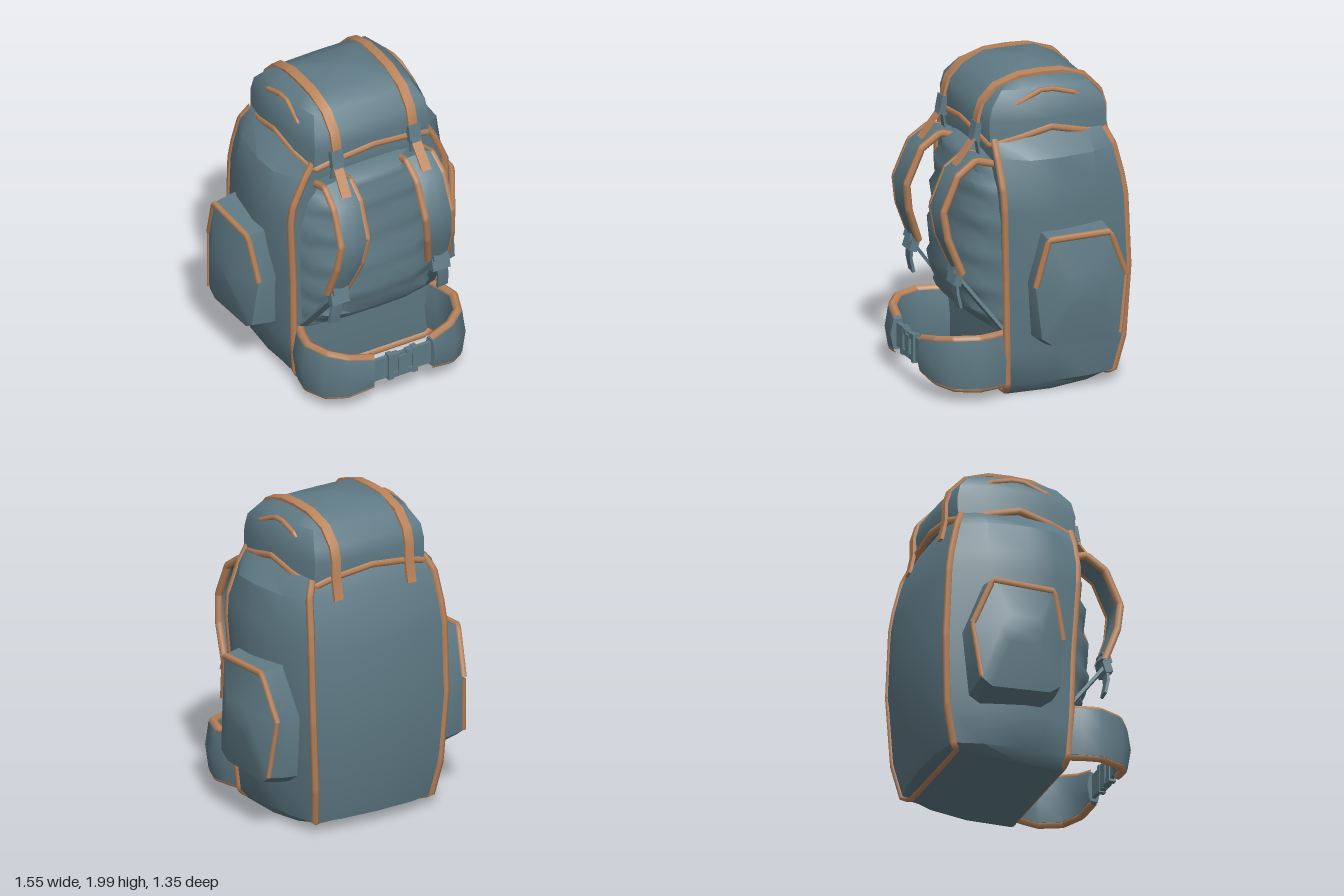
import * as THREE from 'three';
import { toCreasedNormals } from 'three/addons/utils/BufferGeometryUtils.js';

const fabric = new THREE.MeshStandardMaterial({ color: 0x5f7a85 });
fabric.name = 'slate fabric';
const trim = new THREE.MeshStandardMaterial({ color: 0xb9835b });
trim.name = 'tan trim';

const V = (p) => new THREE.Vector3(p[0], p[1], p[2]);
const lerp = THREE.MathUtils.lerp;

// Skin between cross-sections, capped at both ends and always facing outwards
function loft(rings, crease = 0.65) {
  const n = rings[0].length, pos = [], idx = [];
  rings.forEach((r) => r.forEach((p) => pos.push(...p)));
  for (let i = 0; i < rings.length - 1; i++) {
    for (let j = 0; j < n; j++) {
      const a = i * n + j, b = i * n + (j + 1) % n;
      idx.push(a, b, a + n, b, b + n, a + n);
    }
  }
  [0, rings.length - 1].forEach((k) => {
    const c = pos.length / 3;
    for (let d = 0; d < 3; d++) pos.push(rings[k].reduce((s, p) => s + p[d], 0) / n);
    for (let j = 0; j < n; j++) {
      const a = k * n + j, b = k * n + (j + 1) % n;
      idx.push(...(k ? [a, b, c] : [b, a, c]));
    }
  });
  const at = (i) => V(pos.slice(i * 3, i * 3 + 3));
  let volume = 0;
  for (let i = 0; i < idx.length; i += 3) volume += at(idx[i]).dot(at(idx[i + 1]).cross(at(idx[i + 2])));
  if (volume < 0) idx.reverse();
  const g = new THREE.BufferGeometry();
  g.setAttribute('position', new THREE.Float32BufferAttribute(pos, 3));
  g.setIndex(idx);
  return toCreasedNormals(g, crease);
}

// Strap along points [x, y, z, halfWidth]; side is the direction of its width
function ribbon(pts, side, thick, puff = 0) {
  const s = V(side).normalize();
  const rings = pts.map((p, i) => {
    const t = V(pts[Math.min(i + 1, pts.length - 1)]).sub(V(pts[Math.max(i - 1, 0)]));
    const nrm = t.cross(s).normalize(), w = p[3], h = thick / 2;
    return [[-w, -h], [-w, h], [0, h + puff], [w, h], [w, -h], [0, -h - puff]].map(([a, b]) =>
      V(p).addScaledVector(s, a).addScaledVector(nrm, b).toArray());
  });
  return loft(rings, 0.8);
}

// Cord running straight from point to point
const cord = (pts, r, closed = false) => new THREE.TubeGeometry(
  new THREE.CatmullRomCurve3(pts.map(V), closed, 'catmullrom', 0), pts.length * 8, r, 6, closed);

// Full ring from its +x half (front centre to back centre)
const mirrorRing = (half) => half.concat(half.slice(1, -1).reverse().map(([x, y, z]) => [-x, y, z]));

export function createModel() {
  const model = new THREE.Group();
  model.name = 'backpack';
  const add = (name, geo, mat = fabric) => {
    const m = new THREE.Mesh(geo, mat);
    m.name = name;
    model.add(m);
    return m;
  };
  const box = (name, size, at, tilt = 0) => {
    const m = add(name, new THREE.BoxGeometry(...size));
    m.position.set(...at);
    m.rotation.x = tilt;
  };

  // Main bag: y, front corner x z, side x, back corner x z, back centre z
  const rows = [
    [0.01, 0.43, 0.19, 0.44, 0.38, -0.48, -0.49],
    [0.08, 0.49, 0.20, 0.50, 0.43, -0.52, -0.57],
    [0.30, 0.51, 0.21, 0.55, 0.46, -0.57, -0.62],
    [0.75, 0.52, 0.22, 0.59, 0.49, -0.59, -0.67],
    [1.20, 0.55, 0.24, 0.62, 0.49, -0.57, -0.63],
    [1.33, 0.54, 0.245, 0.61, 0.48, -0.55, -0.60],
    [1.52, 0.46, 0.25, 0.58, 0.46, -0.505, -0.53],
    [1.62, 0.40, 0.25, 0.47, 0.41, -0.46, -0.48],
    [1.72, 0.32, 0.20, 0.35, 0.32, -0.38, -0.40],
  ];
  add('mainBag', loft(rows.map(([y, xf, zf, xs, xb, zb, zB], i) => mirrorRing([
    [0, zf], [xf * 0.6, zf], [xf, zf], [xs * 0.985, zf - 0.17], [xs, -0.1],
    [lerp(xs, xb, 0.28), -0.34], [xb, zb], [xb * 0.6, lerp(zb, zB, 0.75)], [0, zB],
  ].map(([x, z]) => [x, y + (i === 0 ? 0.2 * Math.min(z, 0) ** 2 : 0), z])))));

  // Piping around the front and back panels, sunk into the bag's corners
  const seam = (name, cx, cz, lowY, shiftZ) => {
    const up = rows.slice(1, 8).map((r) => [r[cx] - 0.009, r[0], r[cz] + shiftZ]);
    const low = [rows[0][cx], lowY, rows[0][cz] + shiftZ];
    const mir = ([x, y, z]) => [-x, y, z];
    add(name, cord([...up.slice().reverse(), low, mir(low), ...up.map(mir)], 0.024), trim);
  };
  seam('frontPiping', 1, 2, 0.032, -0.002);
  seam('backPiping', 4, 5, 0.07, 0.004);

  // Wrinkled padding against the wearer's back
  const pad = new THREE.CatmullRomCurve3([
    [0.44, 0.40, 0.23], [0.45, 0.47, 0.34], [0.46, 0.62, 0.42], [0.47, 0.80, 0.44], [0.48, 1.0, 0.42],
    [0.48, 1.2, 0.40], [0.43, 1.36, 0.38], [0.34, 1.47, 0.34], [0.27, 1.51, 0.25]].map(V));
  const padRings = [];
  for (let i = 0; i <= 22; i++) {
    const p = pad.getPoint(i / 22), f = i > 1 && i < 20 ? Math.sin(i * 2.1) : 0;
    const half = [[0, 1, 0.006], [0.45, 0.96, 0.01], [0.72, 0.72, 0.024], [0.9, 0.4, 0.02], [1, 0, 0]];
    padRings.push(mirrorRing([...half.map(([u, k, a]) =>
      [p.x * u, p.y, lerp(0.21, p.z, k) + f * a]), [0, p.y, 0.2]]));
  }
  add('backPadding', loft(padRings, 0.9));

  // Domed lid: y, half width, half depth about z = -0.1
  const lidRing = (y, hx, hz, rim) => mirrorRing([
    [0, 1, 1.655], [0.6, 0.985, 1.625], [0.88, 0.93, 1.585], [0.97, 0.5, 1.63], [1, 0, 1.68],
    [0.97, -0.5, 1.63], [0.88, -0.93, 1.585], [0.6, -0.985, 1.625], [0, -1, 1.655],
  ].map(([u, w, e]) => [u * hx, rim ? e : y, -0.1 + w * hz]));
  add('lid', loft([lidRing(0, 0.455, 0.405, true), lidRing(1.73, 0.45, 0.41), lidRing(1.82, 0.44, 0.385),
    lidRing(1.91, 0.39, 0.3), lidRing(1.97, 0.28, 0.18), lidRing(1.998, 0.02, 0.02)], 0.8));
  add('lidPiping', cord(lidRing(0, 0.447, 0.398, true), 0.023, true), trim);

  for (const s of [1, -1]) {
    const side = s > 0 ? 'left' : 'right';
    const M = (pts) => pts.map(([x, y, z, w]) => [x * s, y, z, w]);

    // Strap over the lid, with clip and loose tongue
    const over = [[0.31, 1.63], [0.312, 1.73], [0.284, 1.825], [0.195, 1.918], [0.04, 1.968], [-0.1, 1.974],
      [-0.24, 1.968], [-0.395, 1.918], [-0.484, 1.825], [-0.512, 1.73], [-0.512, 1.62], [-0.54, 1.49]];
    add(side + 'LidStrap', ribbon(M(over.map(([z, y]) => [0.265, y, z, 0.031])), [1, -0.1 * s, 0], 0.02), trim);
    box(side + 'LidClip', [0.08, 0.1, 0.04], [0.27 * s, 1.66, 0.32], -0.2);
    box(side + 'LidClipBar', [0.06, 0.05, 0.06], [0.27 * s, 1.615, 0.32], -0.3);
    add(side + 'LidTongue', ribbon(M([[0.272, 1.62, 0.33, 0.032], [0.28, 1.45, 0.46, 0.032]]),
      [1, 0, 0], 0.012), trim);
    add(side + 'LidAnchor', ribbon(M([[0.272, 1.63, 0.32, 0.025], [0.28, 1.48, 0.3, 0.025]]), [1, 0, 0], 0.012));
    add(side + 'LidZip', cord(M([[0.385, 1.795, 0.17], [0.405, 1.84, 0.09], [0.395, 1.9, -0.05],
      [0.395, 1.9, -0.13], [0.402, 1.865, -0.26], [0.385, 1.805, -0.34]]), 0.016), trim);

    // Side pocket and its zip; outline in z, y and depth of its rim
    const outline = [[0.1, 0.75, -0.02], [0.03, 1.06, 0.015], [-0.38, 1.07, 0.015], [-0.5, 0.77, -0.02],
      [-0.45, 0.4, 0.01], [-0.38, 0.35, 0.01], [0, 0.37, 0.01], [0.07, 0.42, 0.01]];
    const slice = (x, kz, ky, kd = 0) => outline.map(([z, y, d]) =>
      [(x + d * kd) * s, 0.74 + (y - 0.74) * ky, -0.2 + (z + 0.2) * kz]);
    add(side + 'Pocket', loft([slice(0.48, 0.98, 1.08), slice(0.6, 1, 1.04), slice(0.7, 0.98, 0.98, 1),
      slice(0.775, 0.45, 0.25)], 0.75));
    const zip = slice(0.698, 0.97, 0.97, 1);
    add(side + 'PocketZip', cord(zip.slice(0, 4), 0.021), trim);
    add(side + 'PocketSeam', cord(zip.slice(3, 5), 0.016), trim);

    // Padded shoulder strap with piped edges
    const path = M([[0.285, 1.46, 0.24, 0.085], [0.285, 1.495, 0.36, 0.088], [0.29, 1.41, 0.48, 0.09],
      [0.295, 1.19, 0.575, 0.09], [0.315, 1.02, 0.55, 0.085], [0.35, 0.8, 0.465, 0.065]]);
    add(side + 'ShoulderStrap', ribbon(path, [1, 0, 0], 0.035, 0.012));
    for (const e of [1, -1]) {
      add(side + 'ShoulderPiping', cord(path.map(([x, y, z, w]) => [x + e * w, y, z]), 0.024), trim);
    }

    // Adjuster buckle, webbing down to the bag and loose end
    box(side + 'AdjusterTop', [0.1, 0.07, 0.05], [0.35 * s, 0.83, 0.485], -0.3);
    box(side + 'AdjusterBase', [0.12, 0.08, 0.05], [0.353 * s, 0.765, 0.485], -0.3);
    add(side + 'Webbing', ribbon(M([[0.36, 0.76, 0.47, 0.034], [0.44, 0.42, 0.21, 0.034]]), [1, 0.2 * s, 0], 0.02));
    add(side + 'LooseEnd', ribbon(M([[0.36, 0.76, 0.49, 0.036], [0.375, 0.67, 0.49, 0.036],
      [0.38, 0.58, 0.47, 0.036]]), [1, 0.15 * s, 0], 0.018));

    // Padded half of the waist belt
    const belt = M([[0.45, 0.25, 0.17, 0.155], [0.49, 0.25, 0.29, 0.155], [0.51, 0.25, 0.39, 0.155],
      [0.455, 0.25, 0.53, 0.15], [0.355, 0.25, 0.605, 0.13], [0.2, 0.25, 0.632, 0.095]]);
    add(side + 'WaistBelt', ribbon(belt, [0, 1, 0], 0.055, 0.02));
    for (const e of [1, -1]) {
      add(side + 'BeltPiping', cord(belt.map(([x, y, z, w]) => [x, y + e * w, z]), 0.028), trim);
    }

    // Half of the waist buckle
    box(side + 'BuckleProng', [0.035, 0.18, 0.045], [0.085 * s, 0.25, 0.635]);
    box(side + 'BuckleArm', [0.05, 0.035, 0.04], [0.05 * s, 0.315, 0.635]);
    box(side + 'BuckleFoot', [0.05, 0.035, 0.04], [0.05 * s, 0.185, 0.635]);
  }

  // Waist webbing and buckle core
  box('waistWebbing', [0.44, 0.15, 0.025], [0, 0.25, 0.63]);
  box('buckleCore', [0.06, 0.14, 0.045], [0, 0.24, 0.635]);

  return model;
}
